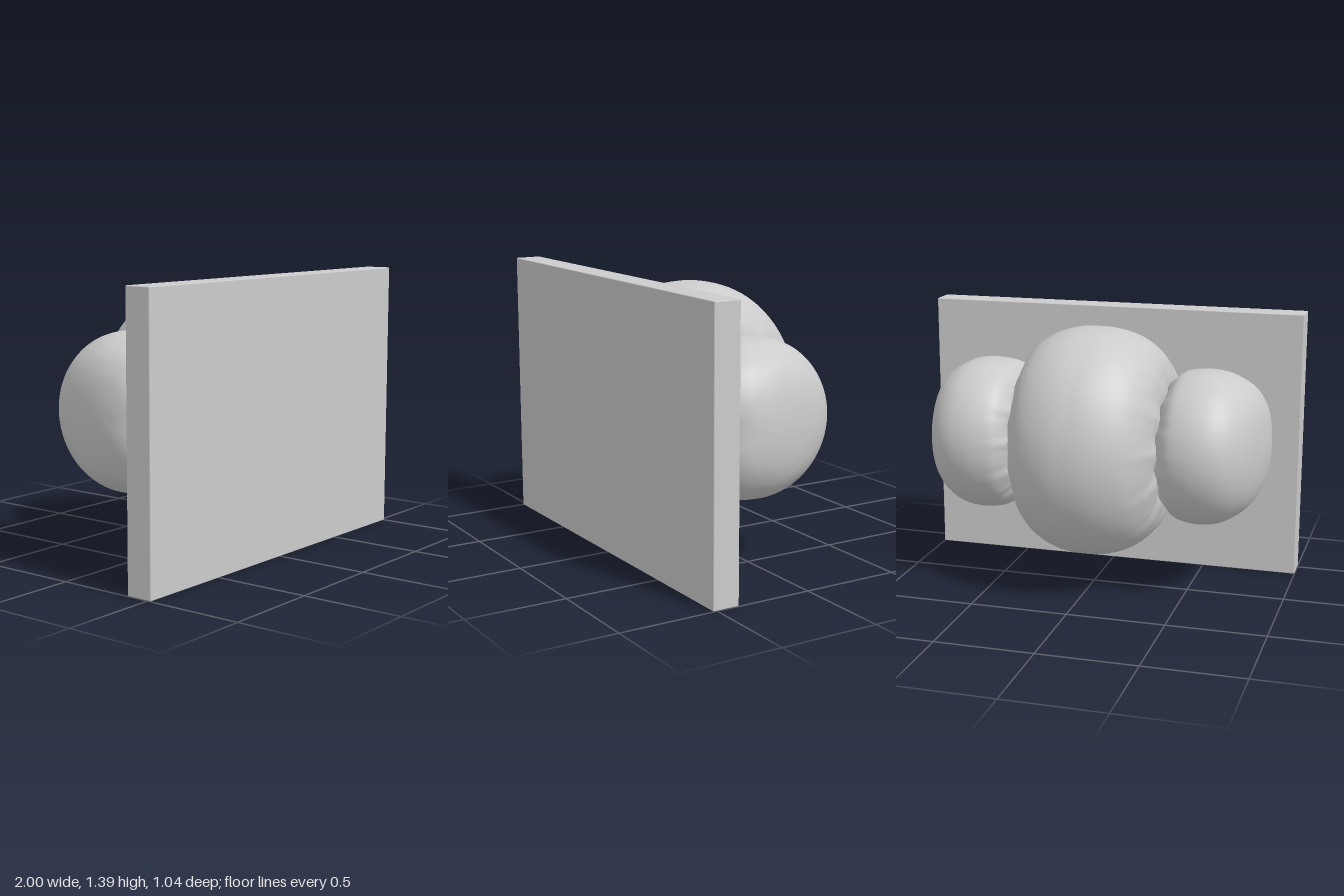
import * as THREE from 'three';
import { RoundedBoxGeometry } from 'three/addons/geometries/RoundedBoxGeometry.js';

const CENTER_Y = 0.755; // height of the cushion's axis
const PINCH_X = 0.38; // where the cushion is gathered
const AROUND = 128;

// Cross-section stations: [x, back z, half height, front z]
const PINCH = [PINCH_X, -0.215, 0.29, 0.362];
const middleHalf = [
  [0, -0.52, 0.587, 0.365], [0.1, -0.512, 0.58, 0.365], [0.2, -0.478, 0.55, 0.365],
  [0.28, -0.425, 0.5, 0.365], [0.34, -0.345, 0.43, 0.365], [0.37, -0.27, 0.35, 0.364], PINCH,
];
const sideLobe = [
  PINCH, [0.4, -0.265, 0.325, 0.364], [0.45, -0.315, 0.37, 0.365], [0.52, -0.336, 0.387, 0.365],
  [0.59, -0.34, 0.39, 0.365], [0.67, -0.325, 0.378, 0.365], [0.74, -0.285, 0.345, 0.365],
  [0.8, -0.21, 0.3, 0.352], [0.84, -0.115, 0.245, 0.318], [0.87, 0, 0.175, 0.275],
  [0.888, 0.09, 0.085, 0.215], [0.893, 0.15, 0, 0.15],
];
const mirrored = (stations) => stations.map(([x, ...rest]) => [-x, ...rest]).reverse();

// Rounded section, flattened at the front, with gathers that fade away from the pinch
function sectionPoint(x, back, half, front, t) {
  const share = 0.39 + 0.06 * THREE.MathUtils.smoothstep(Math.abs(x), 0.2, 0.5);
  const zc = front - share * (front - back);
  const c = Math.cos(t), s = Math.sin(t);
  const n = 2 + 0.8 * THREE.MathUtils.smoothstep(c, -0.1, 0.3);
  const r = 1 / Math.pow(Math.pow(Math.abs(c), n) + Math.pow(Math.abs(s), n), 1 / n);
  const fade = Math.exp(-Math.abs(Math.abs(x) - PINCH_X) / 0.035);
  const gather = 1 + 0.018 * fade * (Math.sin(23 * t) + 0.6 * Math.sin(37 * t + 1));
  const depth = c > 0 ? (front - zc) * 1.03 : zc - back;
  const z = Math.min(front, zc + depth * c * r * gather);
  const wobble = 0.006 * fade * Math.sin(11 * t + 2) * (half > 0 ? 1 : 0);
  return [x + wobble, CENTER_Y + half * s * r * gather, z];
}

// Smooth loft through the stations, running towards +x
function loft(stations, steps) {
  const curve = (pick) => new THREE.CatmullRomCurve3(
    stations.map((p) => new THREE.Vector3(...pick(p))), false, 'catmullrom', 0.5);
  const depthCurve = curve((p) => [p[0], p[1], p[3]]);
  const heightCurve = curve((p) => [p[0], p[2], 0]);
  const positions = [], index = [];
  for (let i = 0; i <= steps; i++) {
    const d = depthCurve.getPoint(i / steps);
    const half = Math.max(0, heightCurve.getPoint(i / steps).y);
    for (let j = 0; j < AROUND; j++) {
      positions.push(...sectionPoint(d.x, d.y, half, d.z, (j / AROUND) * Math.PI * 2));
      if (i === steps) continue;
      const a = i * AROUND + j, b = i * AROUND + ((j + 1) % AROUND);
      index.push(a, a + AROUND, b + AROUND, a, b + AROUND, b);
    }
  }
  const geometry = new THREE.BufferGeometry();
  geometry.setAttribute('position', new THREE.Float32BufferAttribute(positions, 3));
  geometry.setIndex(index);
  geometry.computeVertexNormals();
  return geometry;
}

export function createModel() {
  const model = new THREE.Group();
  model.name = 'cushionOnPanel';
  const material = new THREE.MeshStandardMaterial({ color: 0xcccccc });
  const add = (parent, name, geometry) => {
    const mesh = new THREE.Mesh(geometry, material);
    mesh.name = name;
    parent.add(mesh);
    return mesh;
  };

  // Flat upright panel
  add(model, 'panel', new RoundedBoxGeometry(2, 1.395, 0.137, 2, 0.005)).position.set(0, 0.6975, 0.4515);

  // Three-lobed puffy cushion behind the panel
  const cushion = new THREE.Group();
  cushion.name = 'cushion';
  cushion.position.x = 0.006;
  model.add(cushion);
  const middle = [...mirrored(middleHalf), ...middleHalf.slice(1)];
  add(cushion, 'centerLobe', loft(middle, 96));
  add(cushion, 'leftLobe', loft(sideLobe, 66));
  add(cushion, 'rightLobe', loft(mirrored(sideLobe), 66));

  return model;
}
